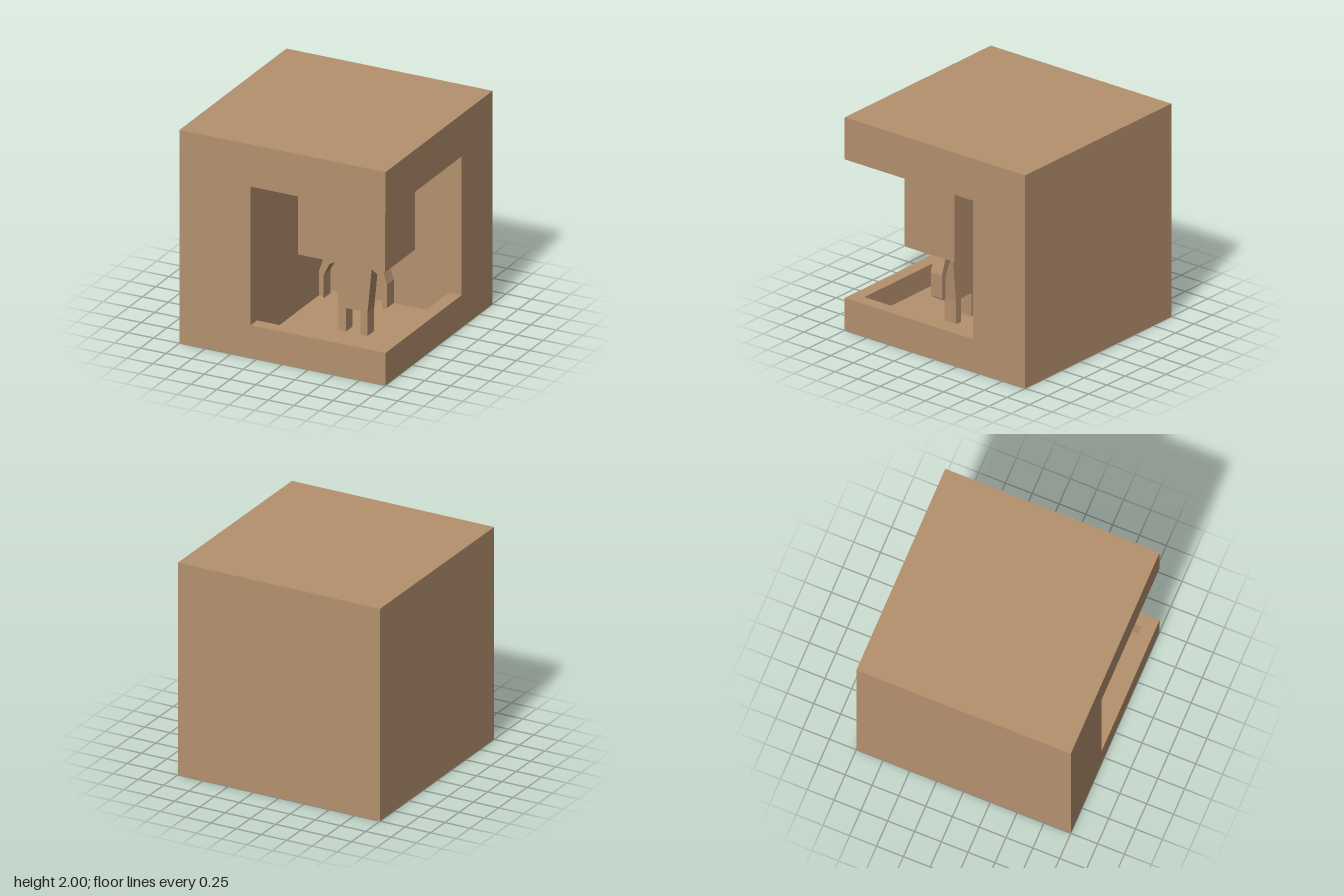
import * as THREE from 'three';

const material = new THREE.MeshStandardMaterial({ color: 0xb5916f, flatShading: true });

// Cube with an open corner niche, skinned from a small grid of solid and empty cells
function shellGeometry() {
  const grid = [
    [-1, -0.31, 0.88, 1],
    [0, 0.1, 0.305, 1.605, 2],
    [-1, -0.42, 0.88, 1],
  ];
  const count = grid.map((g) => g.length - 1);
  const solid = (c) => {
    if (c.some((v, i) => v < 0 || v >= count[i])) return false;
    const [i, j, k] = c;
    const room = i >= 1 && j === 2 && k >= 1; // open to the front and the left
    const pit = i === 1 && j === 1 && k === 1; // sunken floor behind the rim
    return !room && !pit;
  };
  const positions = [];
  for (let i = 0; i < count[0]; i++)
    for (let j = 0; j < count[1]; j++)
      for (let k = 0; k < count[2]; k++) {
        const cell = [i, j, k];
        if (!solid(cell)) continue;
        for (let axis = 0; axis < 3; axis++)
          for (const side of [0, 1]) {
            const next = cell.slice();
            next[axis] += side ? 1 : -1;
            if (solid(next)) continue;
            const u = (axis + 1) % 3, v = (axis + 2) % 3;
            const corner = (du, dv) => {
              const p = [0, 0, 0];
              p[axis] = grid[axis][cell[axis] + side];
              p[u] = grid[u][cell[u] + du];
              p[v] = grid[v][cell[v] + dv];
              return p;
            };
            const q = [corner(0, 0), corner(1, 0), corner(1, 1), corner(0, 1)];
            if (!side) q.reverse();
            for (const n of [0, 1, 2, 0, 2, 3]) positions.push(...q[n]);
          }
      }
  const geometry = new THREE.BufferGeometry();
  geometry.setAttribute('position', new THREE.Float32BufferAttribute(positions, 3));
  geometry.computeVertexNormals();
  return geometry;
}

// Flat figure with bent arms and two legs, from a mirrored half outline
function figureGeometry() {
  const half = [
    [0.07, 0.32], [0.07, 0.1], [0.14, 0.1], [0.14, 0.32], // leg
    [0.18, 0.73], [0.23, 0.7], [0.285, 0.59], [0.285, 0.37], // waist and inner arm
    [0.33, 0.4], [0.33, 0.62], [0.27, 0.8], [0.2, 0.837], // outer arm and shoulder
  ];
  const mirrored = half.map(([x, y]) => [-x, y]).reverse();
  const shape = new THREE.Shape([...half, ...mirrored].map(([x, y]) => new THREE.Vector2(x, y)));
  return new THREE.ExtrudeGeometry(shape, { depth: 0.125, bevelEnabled: false });
}

export function createModel() {
  const model = new THREE.Group();
  const add = (name, geometry, x, y, z) => {
    const mesh = new THREE.Mesh(geometry, material);
    mesh.name = name;
    mesh.position.set(x, y, z);
    model.add(mesh);
  };

  add('cubeShell', shellGeometry(), 0, 0, 0);
  add('figureBody', figureGeometry(), 0.332, 0, 0.195);
  add('figureHead', new THREE.BoxGeometry(0.845, 0.745, 0.555), 0.3325, 1.2075, 0.2575);

  return model;
}
